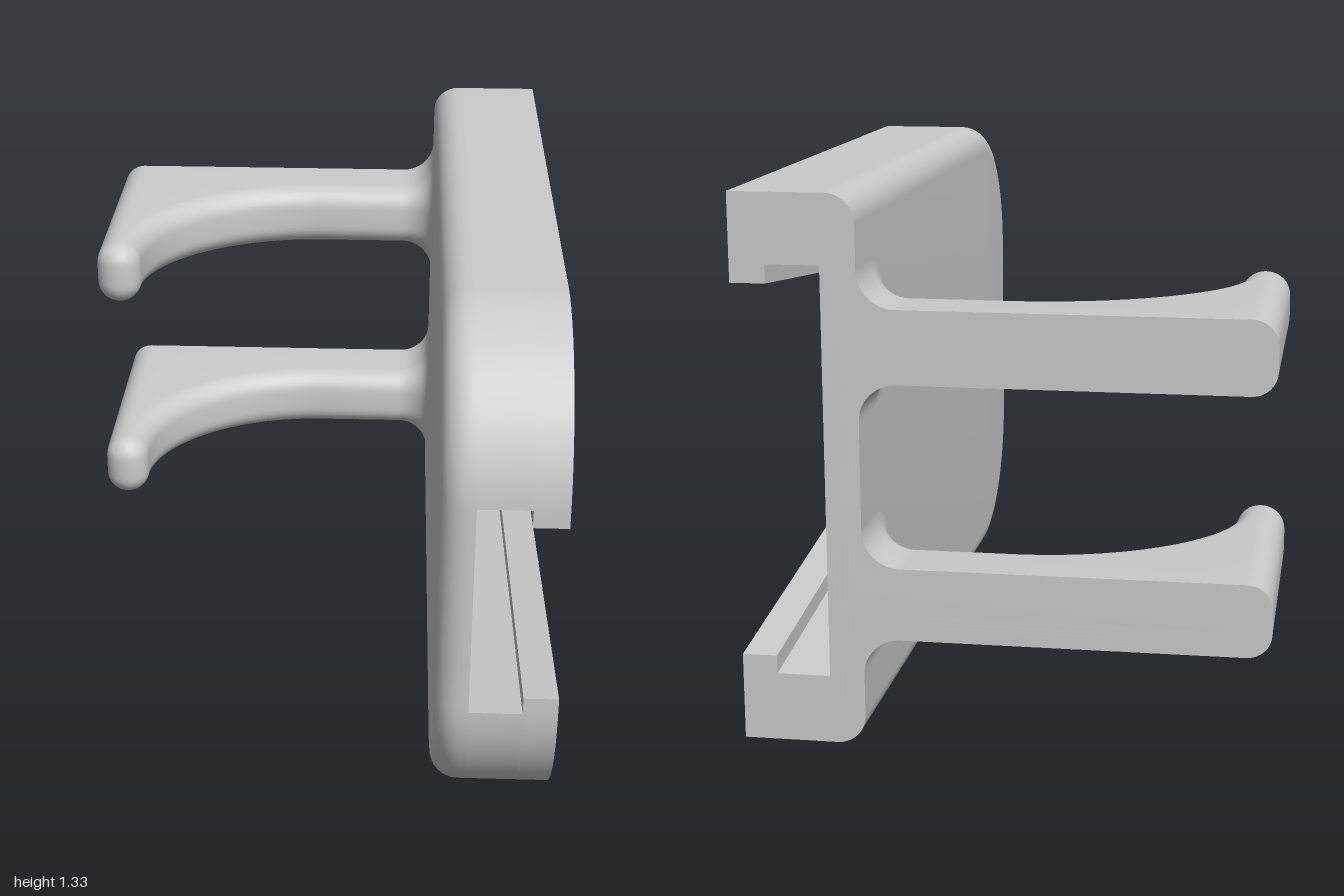
import * as THREE from 'three';
import { toCreasedNormals } from 'three/addons/utils/BufferGeometryUtils.js';

const H = 1.333, MID = H / 2;                          // plate height and its mid line
const FACE = 0.335, FLOOR = 0.42, LIP = 0.55, SIDE = 0.635; // x of the plate's layers
const BACK = -1, CORNER = 0.4, EDGE = 0.07;            // back plane, plate corner, plate edge radius
const ARM_H = 0.0885, ARM_R = 0.06, ARM_Z = -0.79, FILLET = 0.09;

const material = new THREE.MeshStandardMaterial({ color: 0xcccccc });

function mesh(geometry, name) {
  const m = new THREE.Mesh(toCreasedNormals(geometry, 0.5), material);
  m.name = name;
  return m;
}

// Points on an elliptical arc
function arc(cx, cy, rx, ry, a0, a1, n = 24) {
  return Array.from({ length: n + 1 }, (_, i) => {
    const a = a0 + (a1 - a0) * i / n;
    return [cx + rx * Math.cos(a), cy + ry * Math.sin(a)];
  });
}

// Extrusion that keeps the outline's size and rounds the rims by radius r
function extrude(points, depth, r = 0) {
  const shape = new THREE.Shape(points.map(p => new THREE.Vector2(...p)));
  return new THREE.ExtrudeGeometry(shape, {
    depth, bevelEnabled: r > 0, bevelSize: r, bevelThickness: r, bevelOffset: -r, bevelSegments: 8,
  });
}

// Flattens everything beyond the back plane and beyond a largest x
function clip(geometry, maxX = Infinity) {
  const p = geometry.attributes.position;
  for (let i = 0; i < p.count; i++) {
    p.setX(i, Math.min(p.getX(i), maxX));
    p.setZ(i, Math.max(p.getZ(i), BACK));
  }
  return geometry;
}

// Thin web of the plate: rounded rim on the arm side, flat pocket floor on the other
function plateWeb() {
  const points = [
    [-BACK + 0.1, 0],
    ...arc(-1 + CORNER, CORNER, CORNER, CORNER, -Math.PI / 2, -Math.PI),
    ...arc(-1 + CORNER, H - CORNER, CORNER, CORNER, Math.PI, Math.PI / 2),
    [-BACK + 0.1, H],
  ];
  const g = extrude(points, FLOOR - FACE - EDGE, EDGE);
  g.rotateY(Math.PI / 2).translate(FACE + EDGE, 0, 0);
  return clip(g, FLOOR);
}

// One layer of a tapered rail; s = 1 is the upper rail, -1 the lower one
function railLayer(s, x0, x1, yFront, yBack) {
  const start = Math.asin(Math.max(0, yFront - (H - CORNER)) / CORNER);
  const points = [
    [-BACK, yBack],
    ...(start > 0 ? [] : [[-1, yFront]]),
    ...arc(-1 + CORNER, H - CORNER, CORNER, CORNER, Math.PI - start, Math.PI / 2),
    [-BACK, H],
  ].map(([u, y]) => [u, MID + s * (y - MID)]);
  return extrude(points, x1 - x0).rotateY(Math.PI / 2).translate(x0, 0, 0);
}

// Hooked arm: straight bar, swept inner curve and round-tipped finger
function hookArm() {
  const points = [
    [-0.635, -BACK + 0.1],
    ...arc(-0.5725, 0.335, 0.0625, 0.0625, -Math.PI, 0, 16),
    ...arc(0, 0.34, 0.51, -ARM_Z - 0.34, Math.PI, Math.PI / 2, 32),
    [0.38, -ARM_Z],
    [0.38, -BACK + 0.1],
  ];
  const g = extrude(points, 2 * (ARM_H - ARM_R), ARM_R);
  g.rotateX(-Math.PI / 2).translate(0, ARM_R - ARM_H, 0);
  return clip(g);
}

// Flared root blending the arm into the plate, lofted along x
function armRoot() {
  const steps = 12, positions = [], index = [];
  let ring = 0;
  for (let k = 0; k <= steps; k++) {
    const t = (k / steps) * Math.PI / 2;
    const x = FACE - FILLET + FILLET * Math.sin(t);
    const f = FILLET * (1 - Math.cos(t)), r = ARM_R + f;
    const section = [
      [BACK, -ARM_H - f],
      ...arc(ARM_Z - ARM_R, ARM_R - ARM_H, r, r, -Math.PI / 2, 0, 8),
      ...arc(ARM_Z - ARM_R, ARM_H - ARM_R, r, r, 0, Math.PI / 2, 8),
      [BACK, ARM_H + f],
    ];
    ring = section.length;
    section.forEach(([z, y]) => positions.push(x, y, z));
  }
  for (let k = 0; k < steps; k++) {
    for (let j = 0; j < ring; j++) {
      const a = k * ring + j, b = k * ring + (j + 1) % ring;
      index.push(a, a + ring, b + ring, a, b + ring, b);
    }
  }
  const g = new THREE.BufferGeometry();
  g.setAttribute('position', new THREE.Float32BufferAttribute(positions, 3));
  g.setIndex(index);
  return g;
}

export function createModel() {
  const model = new THREE.Group();
  model.name = 'slideInHookBracket';
  model.add(mesh(plateWeb(), 'plateWeb'));

  for (const s of [1, -1]) {
    const side = s > 0 ? 'upper' : 'lower';

    // Undercut rail with a narrower lip
    const rail = new THREE.Group();
    rail.name = side + 'Rail';
    rail.add(mesh(railLayer(s, FLOOR, LIP, 0.945, 1.165), 'railWall'));
    rail.add(mesh(railLayer(s, LIP, SIDE, 0.9, 1.12), 'railLip'));

    // Hook with its flared root
    const hook = new THREE.Group();
    hook.name = side + 'Hook';
    hook.add(mesh(hookArm(), 'hookArm'), mesh(armRoot(), 'armRoot'));
    hook.position.y = MID + s * 0.311;

    model.add(rail, hook);
  }
  return model;
}
